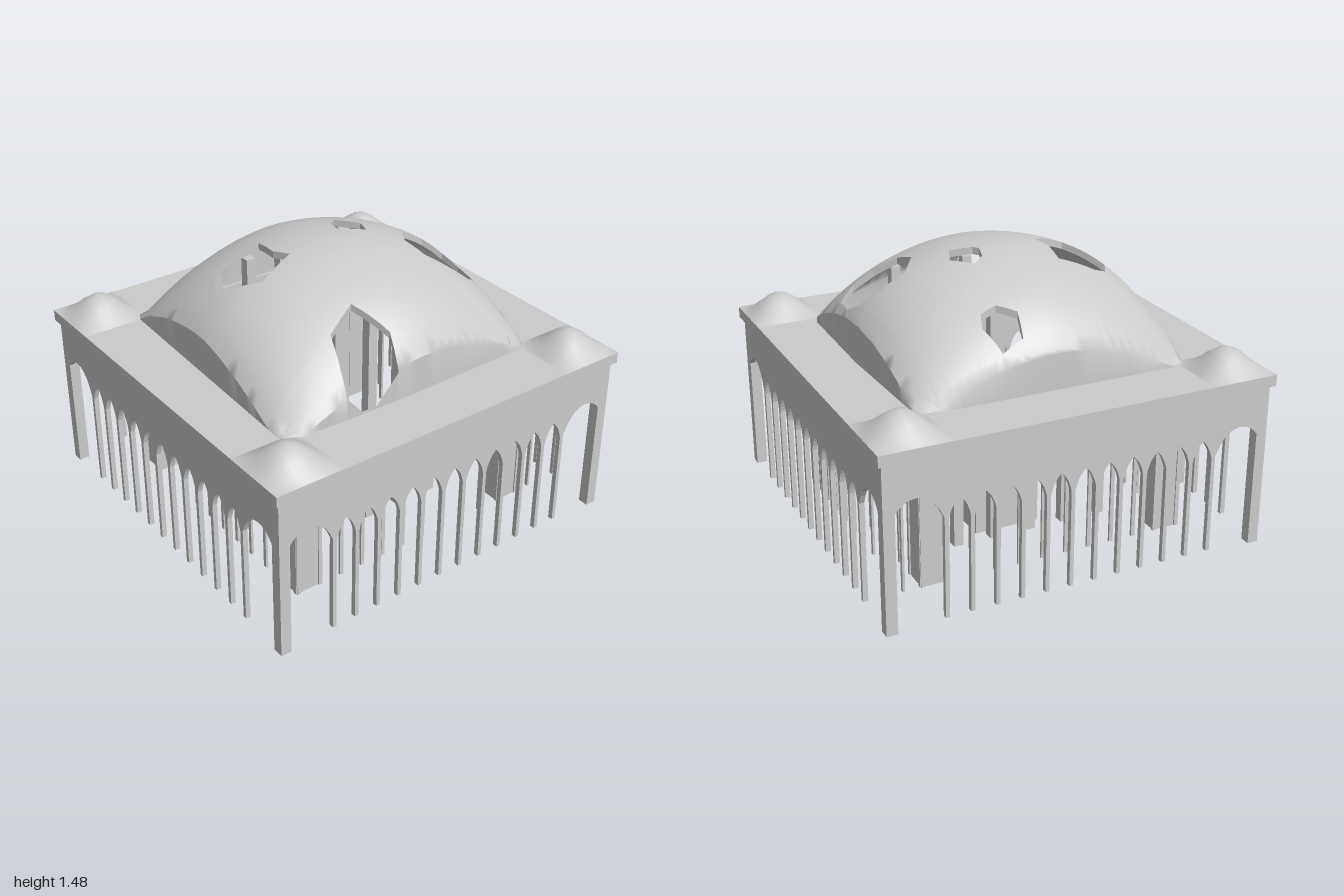
import * as THREE from 'three';
import { mergeVertices } from 'three/addons/utils/BufferGeometryUtils.js';

const solid = new THREE.MeshStandardMaterial({ color: 0xcccccc });
const thin = new THREE.MeshStandardMaterial({ color: 0xcccccc, side: THREE.DoubleSide });

function add(parent, name, geometry, x = 0, y = 0, z = 0, material = solid) {
  const mesh = new THREE.Mesh(geometry, material);
  mesh.name = name;
  mesh.position.set(x, y, z);
  parent.add(mesh);
  return mesh;
}

function box(parent, name, w, y0, y1, d, x, z) {
  return add(parent, name, new THREE.BoxGeometry(w, y1 - y0, d), x, (y0 + y1) / 2, z);
}

// Wall of eleven pointed arches on thin columns, optionally with wide corner arches
function arcade(depth, withCorners) {
  const step = 0.124, half = 0.01, top = 0.92, end = 0.692;
  const s = new THREE.Shape();
  if (withCorners) {
    s.moveTo(-0.975, top);
    s.lineTo(-0.975, 0.09);
    s.lineTo(-0.92, 0.09);
    s.lineTo(-0.92, 0.68);
    s.quadraticCurveTo(-0.88, 0.735, -0.82, 0.735);
    s.quadraticCurveTo(-0.74, 0.735, -end, 0.61);
  } else s.moveTo(-end, top);
  for (let i = 0; i < 12; i++) {
    const c = (i - 5.5) * step;
    s.lineTo(c - half, 0.11);
    s.lineTo(c + half, 0.11);
    if (i === 11) break;
    s.lineTo(c + half, 0.6);
    s.quadraticCurveTo(c + 0.025, 0.67, c + step / 2, 0.7);
    s.quadraticCurveTo(c + step - 0.025, 0.67, c + step - half, 0.6);
  }
  if (withCorners) {
    s.lineTo(end, 0.61);
    s.quadraticCurveTo(0.74, 0.735, 0.82, 0.735);
    s.quadraticCurveTo(0.88, 0.735, 0.92, 0.68);
    s.lineTo(0.92, 0.09);
    s.lineTo(0.975, 0.09);
    s.lineTo(0.975, top);
  } else s.lineTo(end, top);
  return new THREE.ExtrudeGeometry(s, { depth, bevelEnabled: false, curveSegments: 5 });
}

// Height of the dome above the plan, steep at mid-side and running out at the corners
const baseY = 0.98;
const bulge = (v, r) => Math.sqrt(Math.max(0.05, 1 - (v / r) ** 2));
const domeY = (x, z) =>
  baseY + Math.max(0, 0.505 * (bulge(x, 0.75) * bulge(z, 0.77) - 0.25 * Math.abs(x * z / 0.47) ** 1.5));

const toPoints = list => list.map(([x, z]) => new THREE.Vector2(x, z));

// Splits the sides of a polyline into short pieces
function densify(points, closed) {
  const out = [];
  points.forEach((p, i) => {
    if (!closed && i === points.length - 1) return out.push(p);
    const q = points[(i + 1) % points.length];
    const n = Math.ceil(p.distanceTo(q) / 0.055);
    for (let k = 0; k < n; k++) out.push(p.clone().lerp(q, k / n));
  });
  return out;
}

// Upright ribbon along a plan line
function ribbon(points, closed, topY, bottomY) {
  const pos = [], idx = [], n = points.length;
  points.forEach((p, i) => pos.push(p.x, topY(p, i), p.y, p.x, bottomY(p, i), p.y));
  for (let i = 0; i < (closed ? n : n - 1); i++) {
    const a = 2 * i, b = 2 * ((i + 1) % n);
    idx.push(a, b, a + 1, b, b + 1, a + 1);
  }
  const g = new THREE.BufferGeometry();
  g.setAttribute('position', new THREE.Float32BufferAttribute(pos, 3));
  g.setIndex(idx);
  const flat = g.toNonIndexed();
  flat.computeVertexNormals();
  return flat;
}

// Triangulates a plan with holes, splits long edges, lifts it to the dome and adds the steep foot
function domeSurface(outline, holes, edge) {
  const all = [outline, ...holes].flat(), pos = [];
  const split = (a, b, c, depth) => {
    const ab = a.distanceTo(b), bc = b.distanceTo(c), ca = c.distanceTo(a);
    const longest = Math.max(ab, bc, ca);
    if (longest > 0.06 && depth < 16) {
      if (longest === bc) [a, b, c] = [b, c, a];
      else if (longest === ca) [a, b, c] = [c, a, b];
      const m = a.clone().add(b).multiplyScalar(0.5);
      split(a, m, c, depth + 1);
      split(m, b, c, depth + 1);
      return;
    }
    const up = (b.x - a.x) * (c.y - a.y) - (b.y - a.y) * (c.x - a.x) < 0;
    for (const p of up ? [a, b, c] : [a, c, b]) pos.push(p.x, domeY(p.x, p.y), p.y);
  };
  for (const [i, j, k] of THREE.ShapeUtils.triangulateShape(outline, holes)) split(all[i], all[j], all[k], 0);
  for (let i = 0; i < edge.length - 1; i++) {
    const p = edge[i], q = edge[i + 1];
    const pTop = [p.x, domeY(p.x, p.y), p.y], qTop = [q.x, domeY(q.x, q.y), q.y];
    const pLow = [p.x, baseY - 0.03, p.y], qLow = [q.x, baseY - 0.03, q.y];
    pos.push(...pTop, ...qTop, ...pLow, ...qTop, ...qLow, ...pLow);
  }
  let g = new THREE.BufferGeometry();
  g.setAttribute('position', new THREE.Float32BufferAttribute(pos, 3));
  g = mergeVertices(g, 1e-4);
  g.computeVertexNormals();
  return g;
}

function dome() {
  const group = new THREE.Group();
  group.name = 'brokenDome';
  // Outer edge, running from one side of the broken notch round to the other
  const edge = densify(toPoints([[0.7, 0.41], [0.69, 0.7], [0.67, 0.73], [0.62, 0.74], [-0.65, 0.69], [-0.69, 0.67],
    [-0.705, 0.62], [-0.705, -0.64], [-0.69, -0.68], [-0.65, -0.695], [0, -0.715], [0.6, -0.7], [0.66, -0.68],
    [0.69, -0.63], [0.705, 0.13]]), false);
  const notch = densify(toPoints([[0.705, 0.13], [0.6, 0.1], [0.43, 0.19], [0.49, 0.35], [0.7, 0.41]]), false);
  const holes = [
    [[0, -0.58], [0.07, -0.66], [0.16, -0.69], [0.31, -0.67], [0.36, -0.58], [0.32, -0.49], [0.25, -0.39], [0.125, -0.365], [0, -0.45]],
    [[-0.66, -0.26], [-0.55, -0.31], [-0.49, -0.29], [-0.48, -0.21], [-0.54, -0.13], [-0.64, -0.15]],
    [[-0.2, -0.18], [-0.1, -0.265], [0, -0.225], [-0.04, -0.12], [-0.07, -0.1], [-0.15, -0.12]],
    [[-0.24, 0.24], [-0.09, 0.26], [0, 0.225], [0.06, 0.42], [-0.1, 0.575], [-0.25, 0.49], [-0.28, 0.42]]
  ].map(h => densify(toPoints(h), true));
  const roofY = p => domeY(p.x, p.y);
  const under = p => domeY(p.x, p.y) - 0.035;
  add(group, 'domeShell', domeSurface([...edge, ...notch.slice(1, -1)], holes, edge), 0, 0, 0, thin);
  add(group, 'notchRim', ribbon(notch, false, roofY, under), 0, 0, 0, thin);
  const sill = toPoints([[0.705, 0.13], [0.703, 0.25], [0.702, 0.33], [0.7, 0.41]]);
  add(group, 'notchSill', ribbon(sill, false, (p, i) => [1.12, 0.99, 0.99, 1.08][i], () => baseY - 0.03), 0, 0, 0, thin);
  holes.forEach(h => add(group, 'holeRim', ribbon(h, true, roofY, under), 0, 0, 0, thin));
  return group;
}

// Low swelling roof over one corner
function cornerRoof() {
  const g = new THREE.PlaneGeometry(0.345, 0.345, 8, 8).rotateX(-Math.PI / 2);
  const p = g.attributes.position;
  const wave = v => Math.max(0, Math.cos(Math.PI * v / 0.345)) ** 1.3;
  for (let i = 0; i < p.count; i++) p.setY(i, 0.11 * wave(p.getX(i)) * wave(p.getZ(i)));
  g.computeVertexNormals();
  return g;
}

// Hollow block with its left side and lid broken open
function brokenBlock() {
  const group = new THREE.Group();
  group.name = 'brokenBlock';
  const w = 0.35, h = 0.35;
  const wall = new THREE.PlaneGeometry(w, h);
  add(group, 'blockFront', wall, 0, h / 2, w / 2);
  add(group, 'blockBack', wall, 0, h / 2, -w / 2).rotation.y = Math.PI;
  add(group, 'blockRight', wall, -w / 2, h / 2, 0).rotation.y = -Math.PI / 2;
  add(group, 'blockBase', wall, 0, 0, 0).rotation.x = Math.PI / 2;
  const side = new THREE.Shape(toPoints([[-0.175, 0], [0.175, 0], [0.175, 0.3], [0.13, 0.3], [0.08, 0.265],
    [0.03, 0.25], [-0.02, 0.28], [-0.1, 0.29], [-0.175, 0.34]]));
  add(group, 'blockLeft', new THREE.ShapeGeometry(side), w / 2, 0, 0).rotation.y = Math.PI / 2;
  const lid = new THREE.Shape(toPoints([[-0.175, -0.175], [0.175, -0.175], [0.175, -0.14], [0.06, -0.1], [0, 0],
    [0.05, 0.1], [0.175, 0.15], [0.175, 0.175], [-0.175, 0.175]]));
  add(group, 'blockLid', new THREE.ShapeGeometry(lid), 0, h, 0).rotation.x = -Math.PI / 2;
  group.position.set(0.01, 0, 0.008);
  return group;
}

export function createModel() {
  const model = new THREE.Group();
  model.name = 'domedPavilion';

  // Outer and inner arcades, posts and piers on all four sides
  const outerWall = arcade(0.025, true), innerWall = arcade(0.012, false);
  for (let i = 0; i < 4; i++) {
    const side = new THREE.Group();
    side.name = 'arcadeSide';
    side.rotation.y = i * Math.PI / 2;
    add(side, 'arcadeWall', outerWall, 0, 0, 0.95);
    add(side, 'innerArcade', innerWall, 0, 0, 0.684);
    box(side, 'cornerPost', 0.054, 0.09, 0.92, 0.054, 0.948, 0.948);
    box(side, 'innerPier', 0.135, 0.11, 0.96, 0.135, 0.622, 0.622);
    add(side, 'cornerRoof', cornerRoof(), 0.823, 0.977, 0.823);
    model.add(side);
  }
  add(model, 'rearArcade', innerWall, 0, 0, -0.782);

  // Flat roof ring, open under the dome
  const r = 0.995, open = 0.69;
  const ring = new THREE.Shape(toPoints([[-r, -r], [r, -r], [r, r], [-r, r]]));
  ring.holes.push(new THREE.Path(toPoints([[-open, -open], [-open, open], [open, open], [open, -open]])));
  const slab = new THREE.ExtrudeGeometry(ring, { depth: 0.055, bevelEnabled: false });
  add(model, 'roofRing', slab.rotateX(-Math.PI / 2), 0, 0.92, 0);

  // Tall inner pillars in two rows
  for (const x of [-0.36, 0.37])
    for (let i = 0; i < 5; i++) box(model, 'innerPillar', 0.05, 0.09, 1.3, 0.05, x, 0.42 - 0.195 * i);

  model.add(dome(), brokenBlock());
  return model;
}
